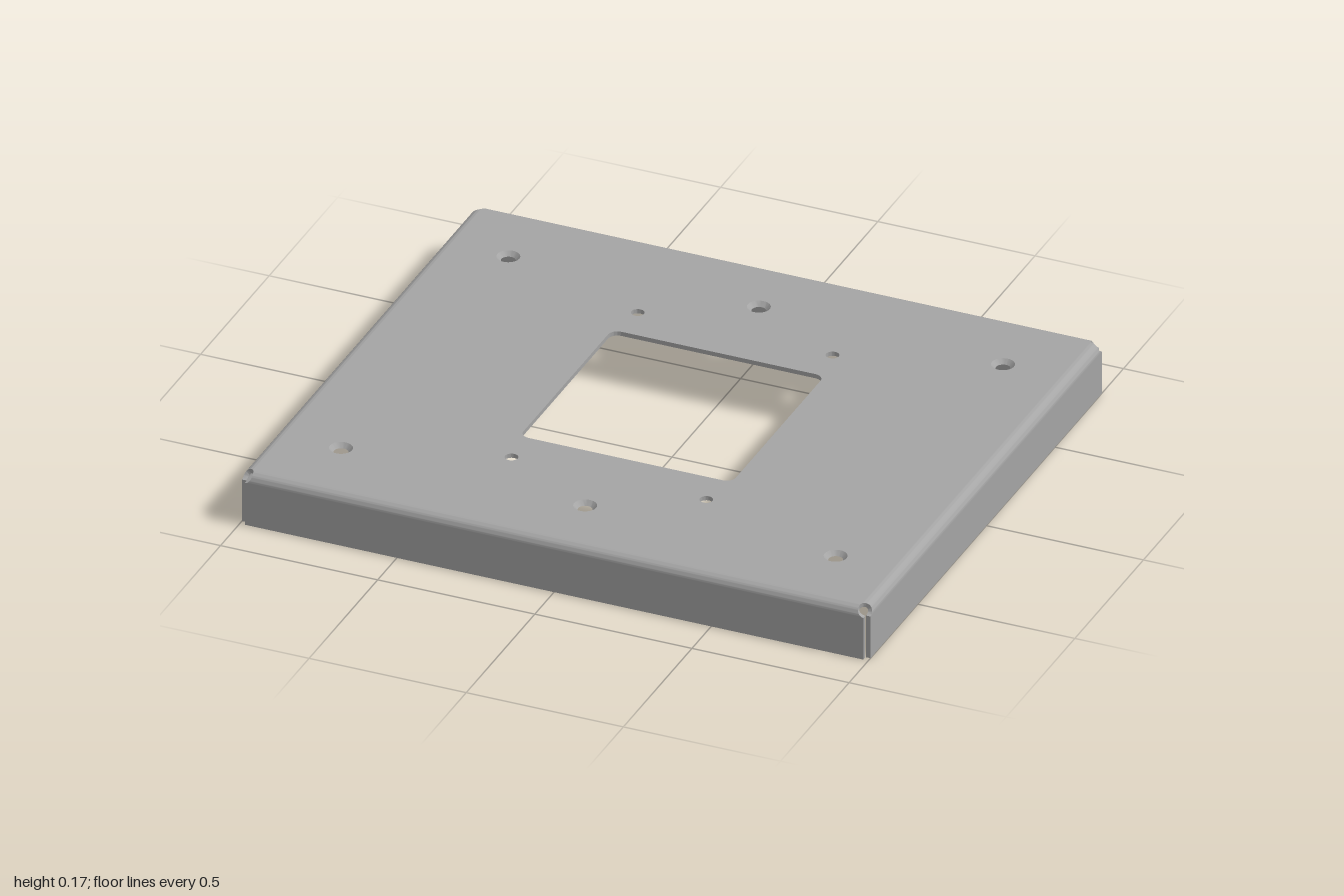
import * as THREE from 'three';
import { toCreasedNormals } from 'three/addons/utils/BufferGeometryUtils.js';

const HALF_X = 1, HALF_Z = 0.86, HEIGHT = 0.172;
const T = 0.014;                          // sheet thickness
const BEND = 0.03;                        // outer bend radius
const RELIEF = 0.022, RELIEF_AT = 0.016;  // corner relief radius and offset from the bend lines
const OVERHANG = 0.014;                   // how far each wall runs past the flat top
const FLAT_X = HALF_X - BEND, FLAT_Z = HALF_Z - BEND;
const SINK_TOP = 0.035, SINK_BOTTOM = 0.022;
const SINKS = [[-0.787, 0.61], [0, 0.633], [0.787, 0.61], [-0.787, -0.61], [0, -0.633], [0.787, -0.61]];

function circleHole(x, y, r) {
  return new THREE.Path().absarc(x, y, r, 0, Math.PI * 2, true);
}

function roundedWindow(h, r) {
  const p = new THREE.Path();
  p.absarc(h - r, h - r, r, 0, Math.PI / 2, false);
  p.absarc(r - h, h - r, r, Math.PI / 2, Math.PI, false);
  p.absarc(r - h, r - h, r, Math.PI, Math.PI * 1.5, false);
  p.absarc(h - r, r - h, r, Math.PI * 1.5, Math.PI * 2, false);
  p.closePath();
  return p;
}

// Flat top with window, plain holes and countersunk holes
function topPlateGeometry() {
  const shape = new THREE.Shape([[1, -1], [1, 1], [-1, 1], [-1, -1]]
    .map(([a, b]) => new THREE.Vector2(a * FLAT_X, b * FLAT_Z)));
  shape.holes.push(roundedWindow(0.338, 0.03));
  for (const sx of [-1, 1]) for (const sz of [-1, 1]) shape.holes.push(circleHole(sx * 0.31, sz * 0.46, 0.02));
  for (const [hx, hy] of SINKS) shape.holes.push(circleHole(hx, hy, SINK_TOP));

  const geo = new THREE.ExtrudeGeometry(shape, { depth: T, bevelEnabled: false, curveSegments: 16 });
  // Narrow the lower rim of each countersink
  const pos = geo.attributes.position;
  const k = SINK_BOTTOM / SINK_TOP;
  for (let i = 0; i < pos.count; i++) {
    if (pos.getZ(i) > T / 2) continue;
    for (const [hx, hy] of SINKS) {
      const dx = pos.getX(i) - hx, dy = pos.getY(i) - hy;
      if (Math.hypot(dx, dy) < SINK_TOP + 0.002) pos.setXY(i, hx + dx * k, hy + dy * k);
    }
  }
  geo.rotateX(-Math.PI / 2);
  geo.translate(0, HEIGHT - T, 0);
  return toCreasedNormals(geo, 0.5);
}

// Folded edge facing +z: bend rows, then the straight wall, with round reliefs at both ends
function flangeGeometry(flatLength, flatDepth) {
  const rows = [];
  const addRow = (w, yo, zo, yi, zi) => rows.push([[-w, yo, zo], [w, yo, zo], [w, yi, zi], [-w, yi, zi]]);
  const cy = HEIGHT - BEND, ri = BEND - T, rMid = BEND - T / 2;
  const wallEnd = flatLength + OVERHANG;

  // Step along the sheet past the relief; the turn stops at a right angle
  const arc = rMid * Math.PI / 2, steps = 16, extra = 4;
  for (let i = 0; i <= steps + extra; i++) {
    const past = Math.max(0, i - steps) / extra * (RELIEF_AT + RELIEF - arc);
    const a = Math.min(1, i / steps) * Math.PI / 2;
    const d = a * rMid + past - RELIEF_AT;
    const cut = Math.sqrt(Math.max(0, RELIEF ** 2 - d * d));
    const w = Math.min(wallEnd, flatLength + RELIEF_AT - cut);
    const sin = Math.sin(a), cos = Math.cos(a);
    addRow(w, cy + BEND * cos - past, flatDepth + BEND * sin, cy + ri * cos - past, flatDepth + ri * sin);
  }
  addRow(wallEnd, 0, flatDepth + BEND, 0, flatDepth + ri);

  const index = [], last = (rows.length - 1) * 4;
  for (let i = 0; i < rows.length - 1; i++) {
    for (let j = 0; j < 4; j++) {
      const a = i * 4 + j, b = i * 4 + (j + 1) % 4;
      index.push(a, a + 4, b + 4, a, b + 4, b);
    }
  }
  index.push(last, last + 3, last + 2, last, last + 2, last + 1); // bottom edge
  const geo = new THREE.BufferGeometry();
  geo.setAttribute('position', new THREE.Float32BufferAttribute(rows.flat(2), 3));
  geo.setIndex(index);
  return toCreasedNormals(geo, 0.5);
}

export function createModel() {
  const group = new THREE.Group();
  group.name = 'sheetMetalCover';
  const material = new THREE.MeshStandardMaterial({ color: 0xa5a5a5 });
  const add = (name, geo, turn = 0) => {
    const mesh = new THREE.Mesh(geo, material);
    mesh.name = name;
    mesh.rotation.y = turn;
    group.add(mesh);
  };

  add('topPlate', topPlateGeometry());

  const longFlange = flangeGeometry(FLAT_X, FLAT_Z);
  const sideFlange = flangeGeometry(FLAT_Z, FLAT_X);
  add('frontFlange', longFlange);
  add('backFlange', longFlange, Math.PI);
  add('leftFlange', sideFlange, Math.PI / 2);
  add('rightFlange', sideFlange, -Math.PI / 2);
  return group;
}
